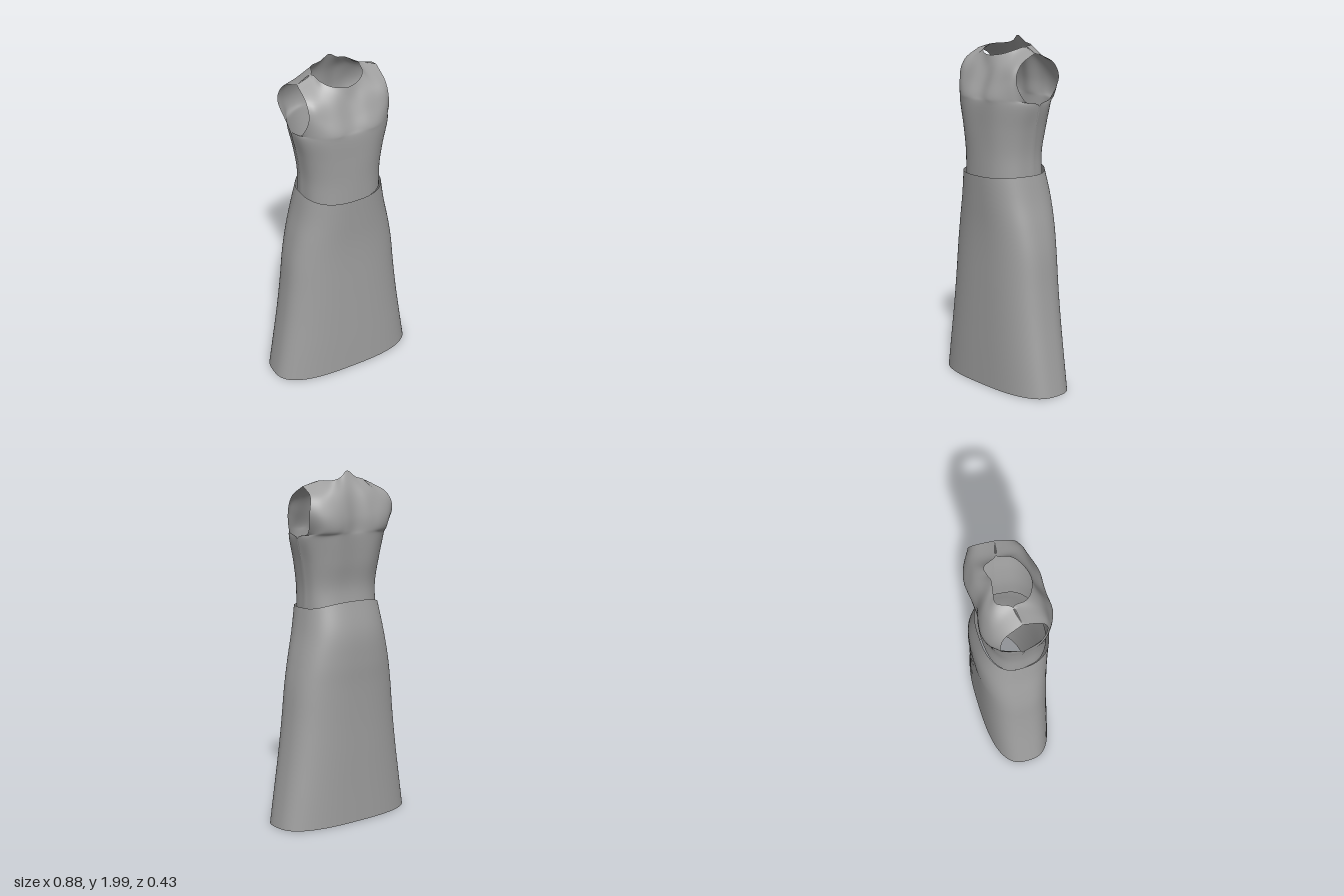
import * as THREE from 'three';
import { mergeVertices } from 'three/addons/utils/BufferGeometryUtils.js';

const V = (x, y, z) => new THREE.Vector3(x, y, z);
const spline = (pts) => new THREE.CatmullRomCurve3(pts, false, 'catmullrom', 0.5);
const pw = (v, e) => Math.sign(v) * Math.pow(Math.abs(v), e);

// Smooth grid through control rows (each row runs along u, rows stack upwards)
function patch(rows, nu, nv, flip, out) {
  const cols = [];
  for (let i = 0; i < rows[0].length; i++) cols.push(spline(rows.map((r) => r[i])));
  const base = out.pos.length / 3;
  for (let j = 0; j <= nv; j++) {
    const row = spline(cols.map((c) => c.getPoint(j / nv)));
    for (let i = 0; i <= nu; i++) out.pos.push(...row.getPoint(i / nu).toArray());
  }
  for (let j = 0; j < nv; j++) {
    for (let i = 0; i < nu; i++) {
      const a = base + j * (nu + 1) + i, b = a + 1, c = a + nu + 1, d = c + 1;
      if (flip) out.idx.push(a, c, b, b, c, d);
      else out.idx.push(a, b, c, b, d, c);
    }
  }
}

function toGeometry({ pos, idx }) {
  const g = new THREE.BufferGeometry();
  g.setAttribute('position', new THREE.Float32BufferAttribute(pos, 3));
  g.setIndex(idx);
  const merged = mergeVertices(g, 1e-4);
  merged.computeVertexNormals();
  return merged;
}

// Half of a rounded waist section, from the middle to the side seam
function halfRing(y, w, depth, dip) {
  const row = [];
  for (let i = 0; i <= 4; i++) {
    const a = (i / 4) * Math.PI / 2;
    const z = i === 4 ? 0 : depth * Math.pow(Math.cos(a), 0.83);
    row.push([w * Math.pow(Math.sin(a), 0.83), y, i === 0 ? z - Math.sign(depth) * dip : z]);
  }
  return row;
}

// Mirror a half row to both sides of the body
function mirrorRow(half) {
  const right = half.slice(1).reverse().map(([x, y, z]) => V(-x, y, z));
  return [...right, ...half.map((p) => V(...p))];
}

function bodiceGeometry() {
  const out = { pos: [], idx: [] };
  // Waist to underarm: height, half width, front depth, back depth, front dip, back dip
  const lower = [
    [1.22, 0.232, 0.197, -0.157, 0, 0],
    [1.36, 0.232, 0.2, -0.148, 0, 0.004],
    [1.5, 0.25, 0.208, -0.172, 0.004, 0.01],
    [1.635, 0.278, 0.216, -0.192, 0.009, 0.016],
  ];
  // Neck corner and shoulder tip are shared by front and back
  const shoulder = [[0.147, 1.945, -0.02], [0.24, 1.918, 0]];
  // Underarm to shoulder, middle to armhole edge
  const front = [
    [[0, 1.68, 0.195], [0.09, 1.68, 0.206], [0.16, 1.68, 0.192], [0.225, 1.68, 0.15], [0.265, 1.665, 0.09]],
    [[0, 1.75, 0.165], [0.085, 1.76, 0.175], [0.155, 1.76, 0.17], [0.21, 1.77, 0.155], [0.243, 1.77, 0.135]],
    [[0, 1.83, 0.135], [0.08, 1.84, 0.14], [0.145, 1.85, 0.13], [0.2, 1.86, 0.115], [0.24, 1.86, 0.1]],
    [[0, 1.9, 0.12], [0.08, 1.91, 0.095], [0.125, 1.93, 0.05], ...shoulder],
  ];
  const back = [
    [[0, 1.68, -0.174], [0.09, 1.68, -0.189], [0.16, 1.68, -0.19], [0.225, 1.68, -0.16], [0.27, 1.67, -0.085]],
    [[0, 1.76, -0.17], [0.085, 1.76, -0.187], [0.16, 1.765, -0.19], [0.23, 1.77, -0.17], [0.292, 1.78, -0.13]],
    [[0, 1.87, -0.145], [0.08, 1.87, -0.158], [0.15, 1.87, -0.15], [0.21, 1.87, -0.13], [0.268, 1.87, -0.105]],
    [[0, 1.998, -0.088], [0.05, 1.965, -0.095], [0.105, 1.95, -0.095], ...shoulder],
  ];
  const frontRows = [...lower.map(([y, w, f, , d]) => halfRing(y, w, f, d)), ...front];
  const backRows = [...lower.map(([y, w, , b, , d]) => halfRing(y, w, b, d)), ...back];
  patch(frontRows.map(mirrorRow), 48, 42, false, out);
  patch(backRows.map(mirrorRow), 48, 42, true, out);
  return toGeometry(out);
}

function skirtGeometry() {
  // Height, half width, front depth, back depth, rise of the back edge, squareness
  const sections = [
    [0.01, 0.438, 0.192, 0.2, 0, 2.75],
    [0.2, 0.407, 0.192, 0.2, 0, 2.75],
    [0.4, 0.376, 0.191, 0.201, 0, 2.7],
    [0.6, 0.35, 0.19, 0.202, 0, 2.65],
    [0.8, 0.328, 0.19, 0.206, 0, 2.6],
    [0.95, 0.3, 0.194, 0.212, 0, 2.6],
    [1.1, 0.265, 0.204, 0.208, 0.01, 2.55],
    [1.245, 0.238, 0.215, 0.172, 0.04, 2.5],
  ];
  const n = 72;
  const rows = sections.map(([y, w, f, b, rise, p]) => {
    const row = [];
    for (let i = 0; i <= n; i++) {
      const a = (i / n) * Math.PI * 2;
      const c = Math.cos(a), s = Math.sin(a);
      const lift = c < 0 ? rise * c * c : -rise * 0.2 * c * c;
      row.push(V(w * pw(s, 2 / p), y + lift, (c > 0 ? f : b) * pw(c, 2 / p)));
    }
    return row;
  });
  const out = { pos: [], idx: [] };
  patch(rows, n, 42, false, out);
  return toGeometry(out);
}

export function createModel() {
  const group = new THREE.Group();
  group.name = 'dress';
  const fabric = new THREE.MeshStandardMaterial({ color: 0xa0a0a0, side: THREE.DoubleSide });
  fabric.name = 'grey fabric';

  const bodice = new THREE.Mesh(bodiceGeometry(), fabric);
  bodice.name = 'bodice';
  const skirt = new THREE.Mesh(skirtGeometry(), fabric);
  skirt.name = 'skirt';
  group.add(bodice, skirt);
  return group;
}
